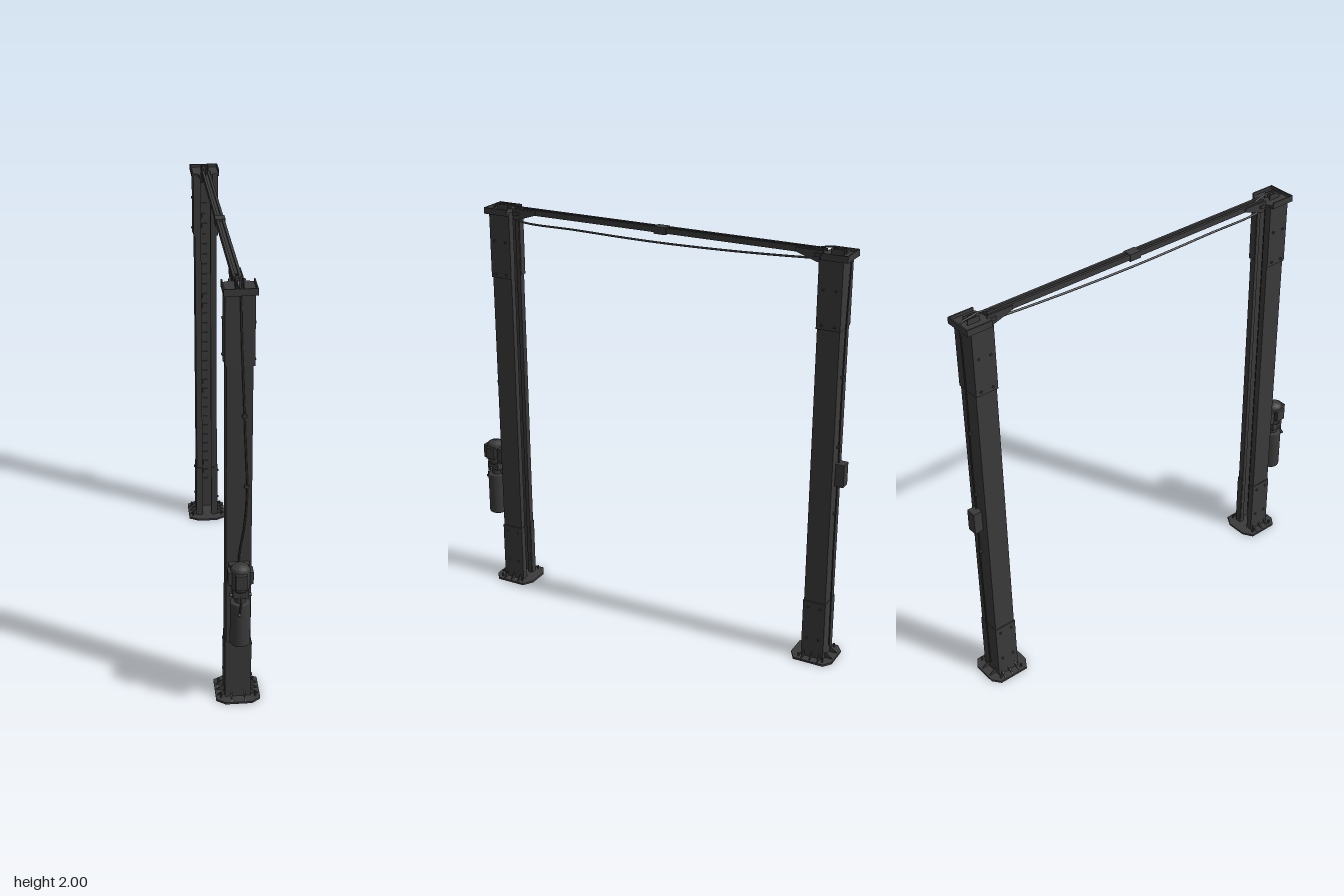
import * as THREE from 'three';

const material = new THREE.MeshStandardMaterial({ color: 0x3a3a3a, side: THREE.DoubleSide });
const CENTRE_Z = -0.045;
const POST_OFFSET = 0.838;

function add(parent, name, geometry, x = 0, y = 0, z = 0) {
  const mesh = new THREE.Mesh(geometry, material);
  mesh.name = name;
  mesh.position.set(x, y, z);
  parent.add(mesh);
  return mesh;
}

const box = (w, h, d) => new THREE.BoxGeometry(w, h, d);
const cyl = (r, h, n = 24, r2 = r) => new THREE.CylinderGeometry(r, r2, h, n);

function hose(parent, name, points, r = 0.004) {
  const curve = new THREE.CatmullRomCurve3(points.map(p => new THREE.Vector3(...p)));
  return add(parent, name, new THREE.TubeGeometry(curve, 48, r, 8));
}

// Outline in plan (x, z) pushed upward from y0 to y1
function plan(points, y0, y1) {
  const shape = new THREE.Shape(points.map(([x, z]) => new THREE.Vector2(x, -z)));
  const g = new THREE.ExtrudeGeometry(shape, { depth: y1 - y0, bevelEnabled: false });
  return g.rotateX(-Math.PI / 2).translate(0, y0, 0);
}

// Lipped channel, open toward local -z
function channel(w, d, lip, t, y0, y1) {
  const half = [[0, d], [w, d], [w, -d], [lip, -d], [lip, -d + 0.02], [lip + t, -d + 0.02],
    [lip + t, -d + t], [w - t, -d + t], [w - t, d - t], [0, d - t]];
  const other = half.slice(1, -1).reverse().map(([x, z]) => [-x, z]);
  return plan([...half, ...other], y0, y1);
}

// Triangular rib standing on the base plate, sloping outward along +x
function gusset(length, height) {
  const s = new THREE.Shape([new THREE.Vector2(0, 0), new THREE.Vector2(length, 0), new THREE.Vector2(0, height)]);
  return new THREE.ExtrudeGeometry(s, { depth: 0.005, bevelEnabled: false }).translate(0, 0, -0.0025);
}

// One column; its closed back faces local +z and its slot faces -z
function makePost() {
  const post = new THREE.Group();

  add(post, 'basePlate', plan([[-0.05, -0.108], [0.05, -0.108], [0.1, -0.078], [0.1, 0.072],
    [0.06, 0.102], [-0.06, 0.102], [-0.1, 0.072], [-0.1, -0.078]], 0, 0.01));
  add(post, 'column', channel(0.055, 0.0525, 0.024, 0.005, 0.01, 1.955));
  add(post, 'lowerSleeve', channel(0.059, 0.0555, 0.027, 0.005, 0.01, 0.305));
  add(post, 'upperSleeve', channel(0.062, 0.0555, 0.027, 0.007, 1.64, 1.955));

  // Ribs and anchor bolts around the foot
  for (const s of [-1, 1]) {
    for (const z of [-0.04, 0, 0.04]) {
      add(post, 'sideGusset', gusset(0.036, 0.028), s * 0.058, 0.01, z).rotation.y = s > 0 ? 0 : Math.PI;
    }
    add(post, 'backGusset', gusset(0.042, 0.028), s * 0.03, 0.01, 0.055).rotation.y = -Math.PI / 2;
    for (const z of [-0.06, 0.06]) {
      add(post, 'anchorBolt', cyl(0.005, 0.02, 6), s * 0.078, 0.018, z);
    }
    // Sleeve bolts on the flanks
    for (const y of [0.11, 0.275, 1.66, 1.82]) {
      for (const z of [-0.03, 0.03]) {
        add(post, 'sleeveBolt', cyl(0.006, 0.008, 6), s * (y > 1 ? 0.064 : 0.061), y, z).rotation.z = Math.PI / 2;
      }
    }
  }

  // Safety ladder and lifting cable inside the slot
  add(post, 'ladderBack', box(0.04, 1.88, 0.004), 0, 0.97, 0.044);
  for (let i = 0; i < 30; i++) {
    add(post, 'ladderRung', box(0.026, 0.025, 0.008), 0, 0.18 + i * 0.055, 0.039);
  }
  for (const x of [-0.035, 0.035]) {
    add(post, 'liftCable', cyl(0.003, 1.9, 8), x, 1.0, 0.01);
  }

  // Head plate with raised rim and tapered support for the crossbar
  add(post, 'headPlate', plan([[-0.07, 0.075], [0.07, 0.075], [0.07, -0.045], [0.035, -0.06],
    [0.035, -0.09], [-0.035, -0.09], [-0.035, -0.06], [-0.07, -0.045]], 1.95, 1.965));
  for (const s of [-1, 1]) {
    add(post, 'headSideRim', box(0.006, 0.02, 0.12), s * 0.067, 1.97, 0.015);
    const cheek = new THREE.Shape([[0.05, 1.95], [0.06, 1.925], [0.075, 1.925], [0.18, 1.96], [0.18, 1.978], [0.05, 1.978]]
      .map(p => new THREE.Vector2(...p)));
    const g = new THREE.ExtrudeGeometry(cheek, { depth: 0.004, bevelEnabled: false }).rotateY(Math.PI / 2);
    add(post, 'crossbarBracket', g, s * 0.023 - 0.002, 0, 0);
    add(post, 'pulleyCheek', box(0.004, 0.026, 0.06), s * 0.016, 1.978, 0.01);
  }
  add(post, 'headBackRim', box(0.14, 0.03, 0.006), 0, 1.965, 0.075);
  add(post, 'headPulley', cyl(0.018, 0.018), 0, 1.974, 0.01).rotation.z = Math.PI / 2;

  // Hose leaping over the head plate
  hose(post, 'headHose', [[0, 1.93, 0.068], [0, 1.975, 0.062], [0.004, 1.992, 0.01],
    [0, 1.994, -0.03], [0, 1.98, -0.09], [0, 1.97, -0.12]], 0.004);
  return post;
}

// Electric pump with hanging oil tank
function makePowerUnit() {
  const unit = new THREE.Group();
  unit.name = 'powerUnit';
  const tank = [[0, 0.35], [0.042, 0.35], [0.045, 0.354], [0.045, 0.558], [0.041, 0.566], [0, 0.566]];
  add(unit, 'oilTank', new THREE.LatheGeometry(tank.map(p => new THREE.Vector2(...p)), 32));
  add(unit, 'pumpNeck', cyl(0.026, 0.04), 0, 0.58, 0);
  add(unit, 'valveBlock', box(0.07, 0.045, 0.06), 0, 0.615, 0);
  const cap = [[0, 0.625], [0.038, 0.625], [0.043, 0.64], [0.043, 0.725], [0.034, 0.74], [0, 0.746]];
  add(unit, 'motorHousing', new THREE.LatheGeometry(cap.map(p => new THREE.Vector2(...p)), 24));
  for (const s of [-1, 1]) {
    add(unit, 'motorSideBox', box(0.016, 0.06, 0.05), s * 0.047, 0.69, 0);
    add(unit, 'valveFitting', cyl(0.008, 0.024, 12), s * 0.036, 0.6, 0.01).rotation.z = Math.PI / 2;
  }
  add(unit, 'switchBox', box(0.05, 0.07, 0.025), 0, 0.685, 0.045);
  add(unit, 'mountingBracket', box(0.09, 0.07, 0.03), 0, 0.685, -0.053);
  hose(unit, 'releaseLever', [[0, 0.6, 0.03], [0, 0.585, 0.045], [-0.01, 0.535, 0.062]], 0.0035);
  add(unit, 'leverKnob', new THREE.SphereGeometry(0.008, 16, 10), -0.01, 0.53, 0.063);
  hose(unit, 'outletHose', [[0.01, 0.6, -0.02], [0.015, 0.56, -0.05], [0.01, 0.515, -0.056],
    [0.012, 0.56, -0.06], [0.005, 0.7, -0.06]]);
  return unit;
}

export function createModel() {
  const model = new THREE.Group();
  model.name = 'twoPostLift';

  const front = makePost();
  front.name = 'frontPost';
  front.position.z = CENTRE_Z + POST_OFFSET;
  const rear = makePost();
  rear.name = 'rearPost';
  rear.rotation.y = Math.PI;
  rear.position.z = CENTRE_Z - POST_OFFSET;
  model.add(front, rear);

  // Crossbar: a pair of rails on a shallow web, joined at the middle
  for (const s of [-1, 1]) {
    add(model, 'crossbarRail', box(0.012, 0.026, 1.56), s * 0.013, 1.97, CENTRE_Z);
  }
  add(model, 'crossbarWeb', box(0.03, 0.012, 1.56), 0, 1.968, CENTRE_Z);
  add(model, 'crossbarJoint', box(0.046, 0.034, 0.06), 0, 1.968, CENTRE_Z);

  // Sagging hose below the crossbar
  hose(model, 'saggingHose', [[0, 1.94, 0.76], [0, 1.917, 0.72], [0, 1.91, 0.4], [0, 1.906, 0.0],
    [0, 1.915, -0.4], [0, 1.932, -0.74], [0, 1.94, -0.84]], 0.005);

  // Hoses running down the closed backs of the posts
  hose(model, 'frontHose', [[0, 1.95, 0.861], [0.008, 1.7, 0.856], [0.022, 1.35, 0.855], [0.032, 1.05, 0.855],
    [0.022, 0.9, 0.855], [0, 0.75, 0.856], [0, 0.62, 0.858], [0.008, 0.52, 0.862]]);
  hose(model, 'rearCable', [[0, 1.95, -0.951], [0.006, 1.6, -0.945], [0.012, 1.2, -0.945], [0.006, 1.0, -0.945],
    [0.01, 0.6, -0.945], [0, 0.06, -0.946]], 0.0035);
  for (const y of [0.76, 1.09, 1.42]) {
    add(model, 'rearCableClip', box(0.02, 0.012, 0.012), 0.009, y, -0.943);
    if (y > 1) add(model, 'frontHoseClip', box(0.02, 0.012, 0.012), y > 1.3 ? 0.02 : 0.031, y, 0.853);
  }
  add(model, 'controlBox', box(0.05, 0.11, 0.042), 0, 0.955, -0.959);

  const unit = makePowerUnit();
  unit.position.z = 0.915;
  model.add(unit);
  return model;
}
